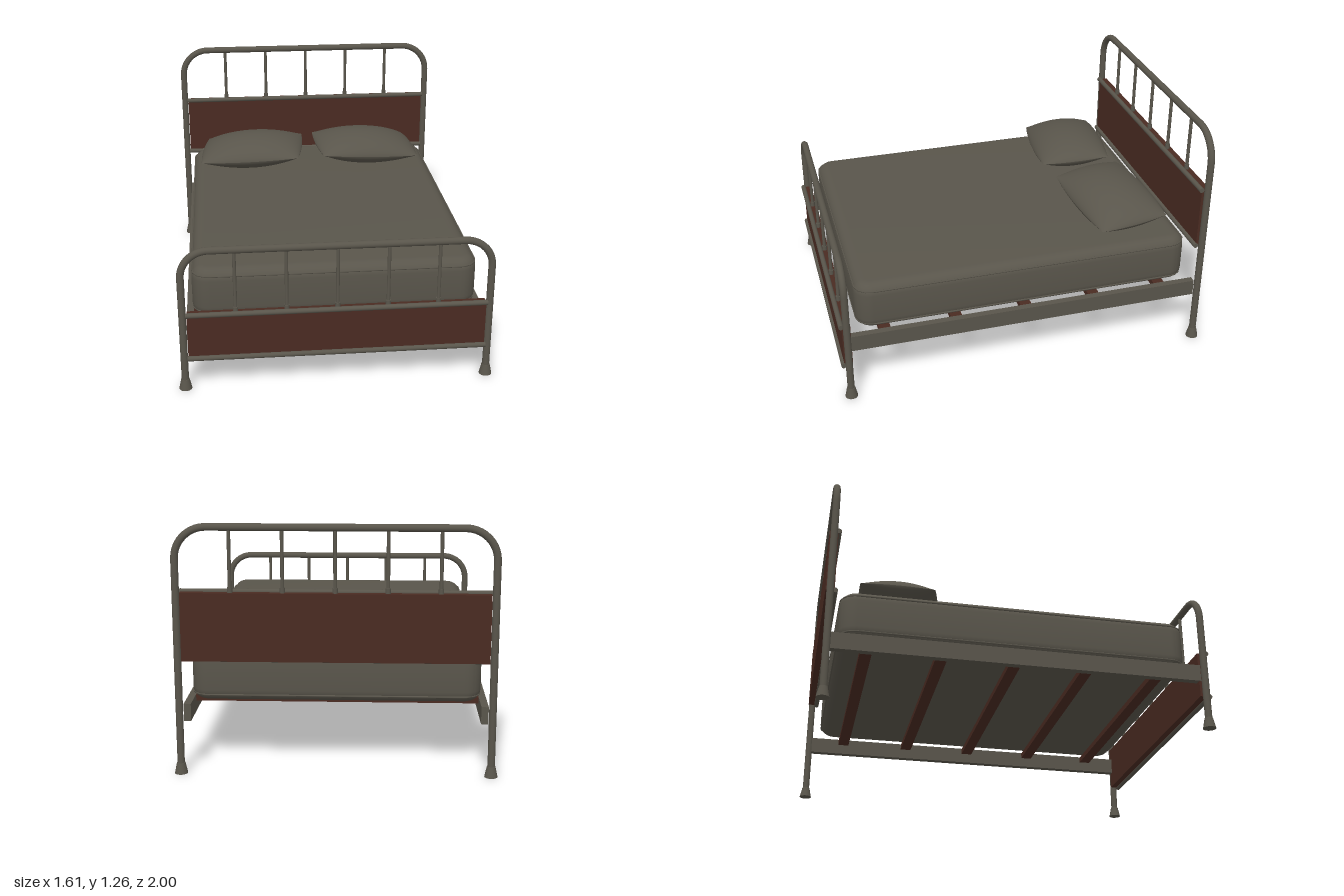
import * as THREE from 'three';
import { toCreasedNormals } from 'three/addons/utils/BufferGeometryUtils.js';

const grey = new THREE.MeshStandardMaterial({ name: 'warm grey', color: 0x59554b });
const wood = new THREE.MeshStandardMaterial({ name: 'dark wood', color: 0x4a2b22 });

const POST_X = 0.772;
const POST_Z = 0.963;

function add(parent, name, geometry, material, x = 0, y = 0, z = 0) {
  const mesh = new THREE.Mesh(geometry, material);
  mesh.name = name;
  mesh.position.set(x, y, z);
  parent.add(mesh);
  return mesh;
}

// Bent pipe: two posts joined by a top rail with rounded corners
function archGeometry(top, r) {
  const path = new THREE.CurvePath();
  const v = (x, y) => new THREE.Vector3(x, y, 0);
  const k = r * 0.448; // control distance for a quarter circle
  path.add(new THREE.LineCurve3(v(-POST_X, 0.04), v(-POST_X, top - r)));
  path.add(new THREE.CubicBezierCurve3(v(-POST_X, top - r), v(-POST_X, top - k), v(-POST_X + k, top), v(-POST_X + r, top)));
  path.add(new THREE.LineCurve3(v(-POST_X + r, top), v(POST_X - r, top)));
  path.add(new THREE.CubicBezierCurve3(v(POST_X - r, top), v(POST_X - k, top), v(POST_X, top - k), v(POST_X, top - r)));
  path.add(new THREE.LineCurve3(v(POST_X, top - r), v(POST_X, 0.04)));
  return new THREE.TubeGeometry(path, 160, 0.0185, 16);
}

// Head or foot end: arch, feet, panel, two cross bars and five spindles
function bedEnd(name, z, top, radius, lowBar, highBar) {
  const end = new THREE.Group();
  end.name = name;
  end.position.z = z;
  add(end, 'archPipe', archGeometry(top, radius), grey);
  for (const s of [-1, 1]) {
    add(end, 'foot', new THREE.CylinderGeometry(0.021, 0.033, 0.055, 20), grey, s * POST_X, 0.0275, 0);
  }
  add(end, 'panel', new THREE.BoxGeometry(1.5, highBar - lowBar, 0.045), wood, 0, (lowBar + highBar) / 2, 0);
  for (const y of [lowBar, highBar]) {
    const bar = add(end, 'crossBar', new THREE.CylinderGeometry(0.0135, 0.0135, 1.51, 16), grey, 0, y, 0.025);
    bar.rotation.z = Math.PI / 2;
  }
  for (let i = -2; i <= 2; i++) {
    const x = i * 0.254;
    const h = top - highBar;
    add(end, 'spindle', new THREE.CylinderGeometry(0.009, 0.009, h, 12), grey, x, highBar + h / 2, 0);
    add(end, 'spindleCollar', new THREE.CylinderGeometry(0.013, 0.013, 0.03, 12), grey, x, highBar + 0.011, 0);
  }
  return end;
}

function roundedRect(hx, hz, r) {
  const s = new THREE.Shape();
  s.absarc(hx - r, hz - r, r, 0, Math.PI / 2);
  s.absarc(-hx + r, hz - r, r, Math.PI / 2, Math.PI);
  s.absarc(-hx + r, -hz + r, r, Math.PI, Math.PI * 1.5);
  s.absarc(hx - r, -hz + r, r, Math.PI * 1.5, Math.PI * 2);
  s.closePath();
  return s;
}

// Rounded mattress with piping near its top and bottom edges
function mattress() {
  const group = new THREE.Group();
  group.name = 'mattress';
  const hx = 0.722, hz = 0.904, bevel = 0.06, height = 0.265;
  const body = new THREE.ExtrudeGeometry(roundedRect(hx - bevel, hz - bevel, 0.03), {
    depth: height - 2 * bevel, bevelEnabled: true, bevelSize: bevel,
    bevelThickness: bevel, bevelSegments: 6, curveSegments: 8,
  });
  body.translate(0, 0, -(height / 2 - bevel));
  body.rotateX(-Math.PI / 2);
  add(group, 'mattressBody', toCreasedNormals(body, 0.7), grey);

  const outline = roundedRect(hx - 0.005, hz - 0.005, 0.085).getPoints(8);
  const points = outline.slice(0, -1).map((p) => new THREE.Vector3(p.x, 0, p.y));
  const loop = new THREE.CatmullRomCurve3(points, true, 'centripetal');
  const piping = new THREE.TubeGeometry(loop, 160, 0.005, 6, true);
  for (const y of [-0.098, 0.098]) add(group, 'piping', piping, grey, 0, y, 0);
  group.position.set(0, 0.355 + height / 2, -0.004);
  return group;
}

// Pillow: two domed sheets meeting at a sharp seam
function pillow(name, x, z, turn, roll) {
  const group = new THREE.Group();
  group.name = name;
  for (const side of [1, -1]) {
    const g = new THREE.PlaneGeometry(2, 2, 28, 22);
    g.rotateX(side * -Math.PI / 2);
    const p = g.attributes.position;
    for (let i = 0; i < p.count; i++) {
      const u = Math.sin(p.getX(i) * Math.PI / 2);
      const w = Math.sin(p.getZ(i) * Math.PI / 2);
      const dome = Math.pow(Math.max(0, (1 - u * u) * (1 - w * w)), 0.62);
      p.setXYZ(i,
        u * (0.292 + 0.014 * (1 - w * w)),
        side * 0.097 * dome,
        w * (0.192 + 0.02 * (1 - u * u)));
    }
    g.computeVertexNormals();
    add(group, side > 0 ? 'pillowTop' : 'pillowUnderside', g, grey);
  }
  group.position.set(x, 0.718, z);
  group.rotation.set(0.06, turn, roll, 'YXZ');
  return group;
}

export function createModel() {
  const bed = new THREE.Group();
  bed.name = 'bed';

  bed.add(bedEnd('headboard', -POST_Z, 1.243, 0.155, 0.585, 0.925));
  bed.add(bedEnd('footboard', POST_Z, 0.762, 0.14, 0.183, 0.425));

  // Side rails and the slats between them
  for (const s of [-1, 1]) {
    add(bed, 'sideRail', new THREE.BoxGeometry(0.036, 0.088, 1.9), grey, s * 0.735, 0.312, 0);
  }
  for (let i = -2; i <= 2; i++) {
    add(bed, 'slat', new THREE.BoxGeometry(1.45, 0.03, 0.06), wood, 0, 0.338, i * 0.38);
  }

  bed.add(mattress());
  bed.add(pillow('rightPillow', -0.36, -0.58, -0.125, 0.07));
  bed.add(pillow('leftPillow', 0.333, -0.6, 0.11, -0.07));
  return bed;
}
